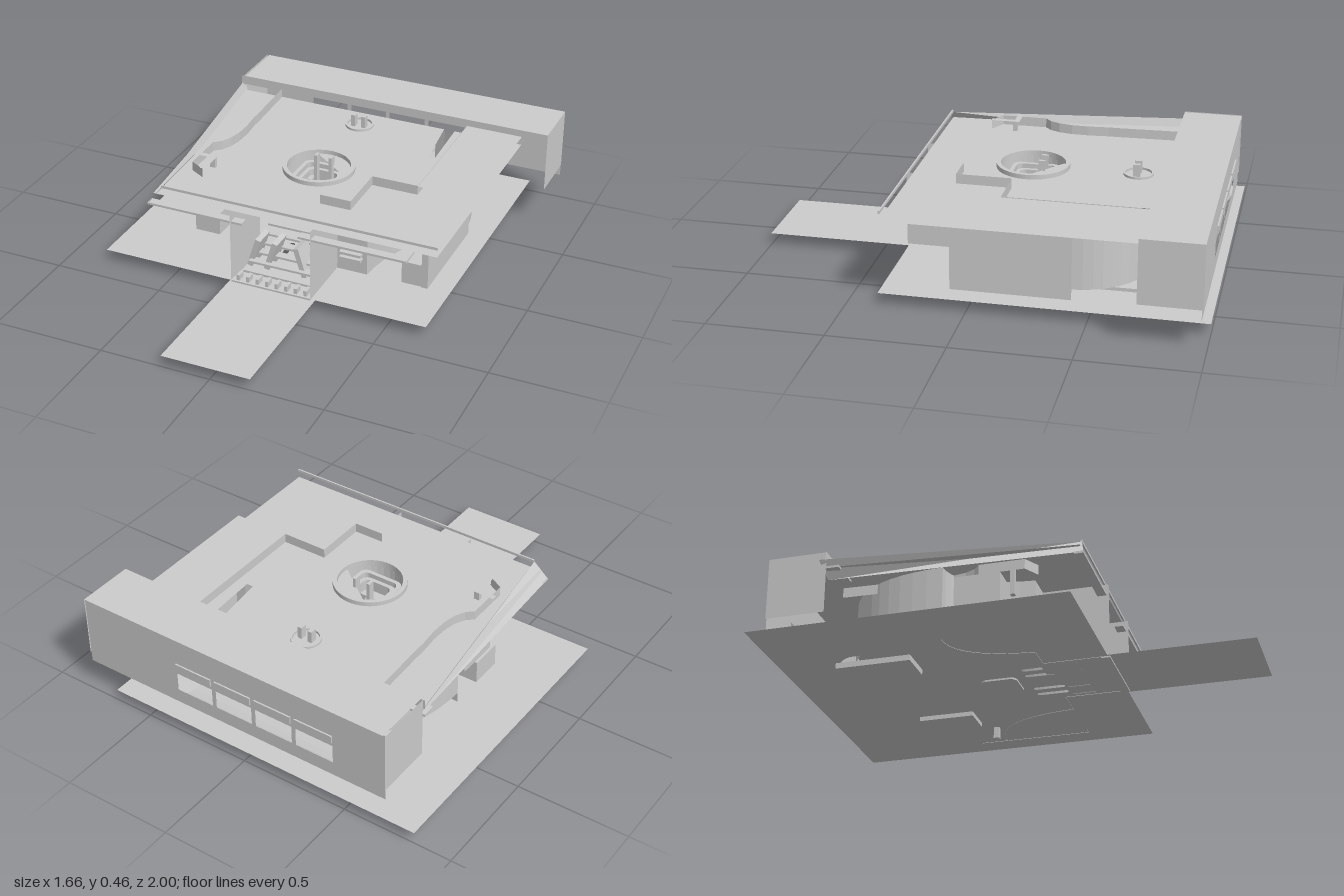
import * as THREE from 'three';

export function createModel() {
  const model = new THREE.Group();
  const mat = new THREE.MeshStandardMaterial({ color: 0xcccccc, side: THREE.DoubleSide, flatShading: true });

  const add = (name, geo, x = 0, y = 0, z = 0) => {
    const m = new THREE.Mesh(geo, mat);
    m.name = name;
    m.position.set(x, y, z);
    model.add(m);
    return m;
  };
  // Box given by its limits
  const box = (name, x0, x1, y0, y1, z0, z1) =>
    add(name, new THREE.BoxGeometry(x1 - x0, y1 - y0, z1 - z0), (x0 + x1) / 2, (y0 + y1) / 2, (z0 + z1) / 2);
  // Surface between two lines of [x, y, z] points
  const loft = (name, a, b) => {
    const pos = [], idx = [];
    a.forEach((p, i) => {
      pos.push(...p, ...b[i]);
      if (i) idx.push(2 * i - 2, 2 * i, 2 * i - 1, 2 * i - 1, 2 * i, 2 * i + 1);
    });
    const g = new THREE.BufferGeometry();
    g.setAttribute('position', new THREE.Float32BufferAttribute(pos, 3));
    g.setIndex(idx);
    g.computeVertexNormals();
    return add(name, g);
  };
  // Upright thin wall along a plan path of [x, z] points
  const wall = (name, path, y0, y1) =>
    loft(name, path.map(([x, z]) => [x, y0, z]), path.map(([x, z]) => [x, y1, z]));
  // Flat sheet from a plan outline of [x, z] points, with holes
  const poly = pts => new THREE.Shape(pts.map(([x, z]) => new THREE.Vector2(x, -z)));
  const sheet = (name, pts, y, holes = []) => {
    const s = poly(pts);
    s.holes.push(...holes);
    const g = new THREE.ShapeGeometry(s, 24);
    g.rotateX(-Math.PI / 2);
    return add(name, g, 0, y, 0);
  };
  const rect = (x0, x1, z0, z1) => [[x0, z1], [x1, z1], [x1, z0], [x0, z0]];
  const circle = (x, z, r) => new THREE.Path().absarc(x, -z, r, 0, Math.PI * 2, true);
  const slot = (x, z0, z1, r) => {
    const p = new THREE.Path();
    p.absarc(x, -z0 - r, r, Math.PI, 0, true);
    p.absarc(x, -z1 + r, r, 0, -Math.PI, true);
    return p;
  };
  const arc = (x0, z0, cx, cz, x1, z1, n = 10) =>
    new THREE.QuadraticBezierCurve(new THREE.Vector2(x0, z0), new THREE.Vector2(cx, cz), new THREE.Vector2(x1, z1))
      .getPoints(n).map(p => [p.x, p.y]);

  // Base sheet with openings, and the long tongue in front
  const baseHoles = [slot(-0.4, -0.74, -0.42, 0.09)];
  for (const x of [-0.16, -0.1, 0.04, 0.1]) baseHoles.push(slot(x, -0.02, 0.12, 0.012));
  sheet('basePlate', rect(-0.83, 0.68, -1, 0.37), 0.052, baseHoles);
  sheet('frontTongue', rect(-0.22, 0.18, 0.37, 1), 0.052);

  // Upper deck with a round vent and a small round port
  const C = [-0.03, -0.14];
  const P = [-0.03, -0.6];
  sheet('deck', [[-0.59, 0.35], [0.71, 0.35], [0.71, -0.72], [0.39, -0.72], [0.4, -0.44], [0.37, -0.44],
    [0.34, -0.72], [-0.68, -0.72]], 0.385, [circle(...C, 0.15), circle(...P, 0.05)]);
  sheet('deckStepPatch', rect(0.45, 0.71, -0.72, -0.1), 0.425);
  for (const [name, c, r, h] of [['ventRim', C, 0.16, 0.03], ['portRim', P, 0.065, 0.02]]) {
    const g = new THREE.ExtrudeGeometry(
      Object.assign(new THREE.Shape().absarc(0, 0, r, 0, Math.PI * 2), { holes: [circle(0, 0, r * 0.88)] }),
      { depth: h, bevelEnabled: false, curveSegments: 32 });
    g.rotateX(-Math.PI / 2);
    add(name, g, c[0], 0.375, c[1]);
  }
  add('ventWell', new THREE.CylinderGeometry(0.15, 0.15, 0.1, 32, 1, true), C[0], 0.335, C[1]);
  for (const x of [-0.055, -0.005]) box('portPin', x - 0.01, x + 0.01, 0.28, 0.44, -0.61, -0.58);

  // Rounded square duct under the vent
  const square = (h, r, T) => {
    const s = new T();
    [[1, 1, 0], [-1, 1, 1], [-1, -1, 2], [1, -1, 3]].forEach(([a, b, q]) =>
      s.absarc(a * (h - r), b * (h - r), r, q * Math.PI / 2, (q + 1) * Math.PI / 2));
    return s;
  };
  for (const [h, y, d] of [[0.105, 0.33, 0.03], [0.085, 0.29, 0.05]]) {
    const s = square(h, 0.035, THREE.Shape);
    s.holes.push(square(h - 0.018, 0.025, THREE.Path));
    const g = new THREE.ExtrudeGeometry(s, { depth: d, bevelEnabled: false });
    g.rotateX(-Math.PI / 2);
    add('ventDuct', g, C[0], y, C[1]);
  }

  // Raised walls around the middle of the deck
  wall('deckRightWall', [[0.45, -0.72], [0.45, -0.1], [0.24, -0.1], [0.24, 0.14], [0.1, 0.14]], 0.385, 0.428);
  wall('deckLeftWall', [[-0.48, -0.72], [-0.47, -0.45], ...arc(-0.47, -0.4, -0.44, -0.15, -0.53, -0.1, 5),
    [-0.53, 0.1], [-0.46, 0.14]], 0.34, 0.428);
  box('frontTrim', -0.55, 0.71, 0.418, 0.43, 0.343, 0.35);
  sheet('cornerBracket', [[-0.55, 0.01], [-0.45, 0.01], [-0.45, 0.14], [-0.475, 0.14], [-0.475, 0.035], [-0.55, 0.035]], 0.43);
  box('bracketPost', -0.475, -0.45, 0.26, 0.43, 0.02, 0.04);

  // Sloping side cover
  loft('sideSlope', [[-0.69, 0.42, -0.75], [-0.55, 0.42, 0.35]], [[-0.65, 0.34, -0.72], [-0.61, 0.34, 0.37]]);

  // Thin ledges under the deck
  box('leftLedge', -0.61, -0.16, 0.335, 0.345, 0.33, 0.37);
  box('rightLedge', 0.1, 0.56, 0.335, 0.345, 0.33, 0.37);
  box('rightRail', 0.56, 0.585, 0.335, 0.345, -0.5, 0.37);
  box('rearLeftLedge', -0.69, -0.54, 0.375, 0.385, -0.72, -0.66);

  // Body walls either side of the front channel
  wall('rightBodyWall', [[0.16, 0.38], [0.16, 0.09], [0.3, 0.09], ...arc(0.3, 0.09, 0.33, -0.3, 0.58, -0.3)], 0.05, 0.385);
  wall('rightSideWall', [[0.55, 0.09], [0.58, 0.09], [0.58, -0.42]], 0.05, 0.335);
  wall('rightRearWall', arc(0.58, -0.42, 0.56, -0.65, 0.3, -0.72), 0.1, 0.385);
  wall('leftBodyWall', [[-0.21, 0.38], [-0.21, 0.09], [-0.33, 0.09], ...arc(-0.33, 0.09, -0.36, -0.25, -0.55, -0.25)], 0.05, 0.385);
  wall('leftRearWall', arc(-0.55, -0.25, -0.54, -0.62, -0.3, -0.72), 0.1, 0.385);
  box('leftInnerBlock', -0.55, -0.34, 0.18, 0.33, -0.2, 0);
  box('leftLowerBlock', -0.55, -0.43, 0.055, 0.16, -0.1, 0.05);
  box('rightCornerBlock', 0.46, 0.56, 0.055, 0.16, 0, 0.09);
  for (const x of [-0.28, 0.23])
    for (const y of [0.125, 0.15]) box('latchBar', x - 0.05, x + 0.05, y - 0.006, y + 0.006, 0.09, 0.12);

  // Channel fittings: stepped floor, slanted guides and posts
  for (let i = 0; i < 6; i++) box('channelStep', -0.19, 0.14, 0.06 + i * 0.02, 0.07 + i * 0.02, 0.26 - i * 0.05, 0.3 - i * 0.05);
  for (const s of [-1, 1]) {
    for (const d of [0.07, 0.15]) {
      const g = box('channelGuide', -0.012, 0.012, 0, 0.14, 0, 0.1);
      g.position.set(-0.025 + s * d, 0.12, 0.18);
      g.rotation.z = s * 0.3;
    }
    const x = -0.025 + s * 0.035;
    box('channelPost', x - 0.007, x + 0.007, 0.06, 0.43, -0.2, -0.17);
    box('postBlock', x + s * 0.03 - 0.015, x + s * 0.03 + 0.015, 0.23, 0.31, -0.22, -0.16);
  }
  box('channelSill', -0.21, 0.16, 0.045, 0.06, 0.34, 0.38);
  for (let i = 0; i < 8; i++) box('channelTooth', -0.19 + i * 0.045, -0.175 + i * 0.045, 0.06, 0.085, 0.33, 0.37);

  // Rear housing: top, lip, end panels and back panel with four ports
  sheet('housingTop', rect(-0.67, 0.83, -0.98, -0.72), 0.457);
  wall('housingLip', [[-0.69, -0.72], [0.83, -0.72]], 0.415, 0.457);
  for (const x of [-0.68, 0.83]) wall('housingEnd', [[x, -0.72], [x, -0.98]], 0.18, 0.457);
  const back = new THREE.Shape([[-0.68, 0.13], [0.83, 0.13], [0.83, 0.457], [-0.68, 0.457]].map(p => new THREE.Vector2(...p)));
  for (let i = 0; i < 4; i++) {
    const x0 = -0.43 + i * 0.2, x1 = x0 + 0.18;
    back.holes.push(new THREE.Path([[x0, 0.195], [x0, 0.28], [x1, 0.28], [x1, 0.195]].map(p => new THREE.Vector2(...p))));
    box('portLabel', x0, x1, 0.3, 0.335, -0.985, -0.978);
  }
  add('housingBack', new THREE.ShapeGeometry(back), 0, 0, -0.975);

  // Curved chute below the back panel
  const chute = arc(-0.975, 0.18, -0.95, 0.06, -0.72, 0.055, 8);
  loft('rearChute', chute.map(([z, y]) => [-0.43, y, z]), chute.map(([z, y]) => [0.4, y, z]));

  // Feet and underside details
  box('footPeg', 0.41, 0.435, 0, 0.055, -0.315, -0.29);
  box('leftFoot', -0.45, -0.29, 0.025, 0.05, -0.75, -0.42);
  box('rightFoot', 0.2, 0.34, 0.03, 0.05, -0.6, -0.35);
  const pad = new THREE.ExtrudeGeometry(square(0.08, 0.03, THREE.Shape), { depth: 0.008, bevelEnabled: false });
  pad.rotateX(-Math.PI / 2);
  add('underPad', pad, C[0], 0.043, C[1]);
  box('rearRightRail', 0.5, 0.52, 0.085, 0.1, -0.75, -0.46);
  return model;
}
